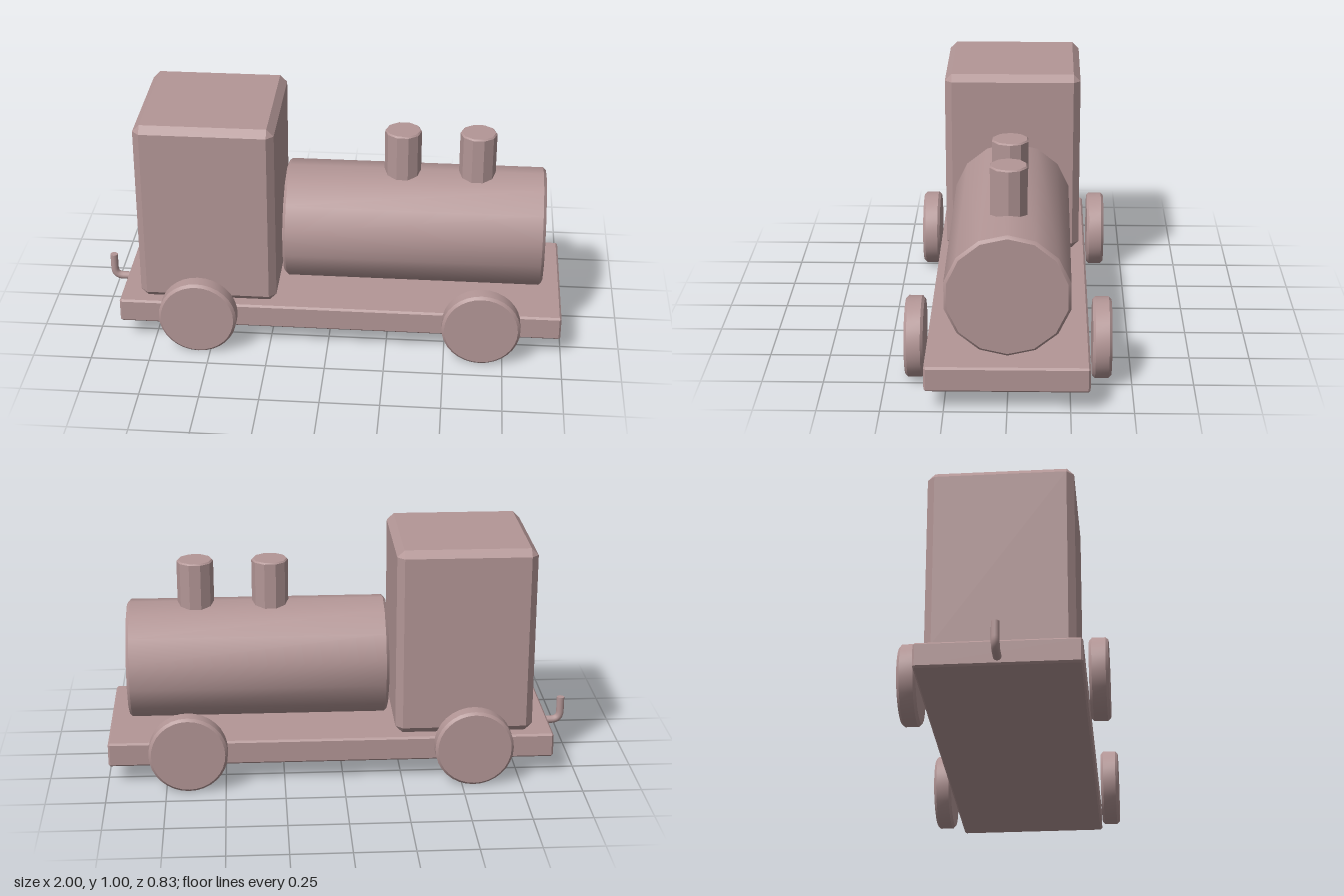
import * as THREE from 'three';
import { toCreasedNormals } from 'three/addons/utils/BufferGeometryUtils.js';
import { ConvexGeometry } from 'three/addons/geometries/ConvexGeometry.js';

const material = new THREE.MeshStandardMaterial({ color: 0xb39696 });

// Box with chamfered edges, given by its min and max corners
function chamferBox(min, max, c) {
  const half = max.map((v, i) => (v - min[i]) / 2);
  const points = [];
  for (const sx of [-1, 1]) for (const sy of [-1, 1]) for (const sz of [-1, 1]) {
    for (let full = 0; full < 3; full++) {
      const p = half.map((h, i) => (i === full ? h : h - c));
      points.push(new THREE.Vector3(sx * p[0], sy * p[1], sz * p[2]));
    }
  }
  const geometry = new ConvexGeometry(points);
  return geometry.translate(...max.map((v, i) => (v + min[i]) / 2));
}

// Upright cylinder with chamfered rims, centred on the origin
function chamferCylinder(radius, height, c, sides) {
  const h = height / 2;
  const profile = [[0, -h], [radius - c, -h], [radius, c - h], [radius, h - c], [radius - c, h], [0, h]]
    .map(([r, y]) => new THREE.Vector2(r, y));
  return toCreasedNormals(new THREE.LatheGeometry(profile, sides, Math.PI / 2), 0.5);
}

export function createModel() {
  const model = new THREE.Group();
  const add = (name, geometry, x = 0, y = 0, z = 0) => {
    const mesh = new THREE.Mesh(geometry, material);
    mesh.name = name;
    mesh.position.set(x, y, z);
    model.add(mesh);
  };

  // Body
  add('chassis', chamferBox([-0.9, 0.085, -0.327], [0.995, 0.19, 0.327], 0.008));
  add('cab', chamferBox([-0.812, 0.19, -0.298], [-0.225, 1.005, 0.298], 0.03));
  add('boiler', chamferCylinder(0.255, 1.11, 0.012, 14).rotateZ(Math.PI / 2), 0.355, 0.454, 0);

  // Chimneys
  [['rearChimney', 0.297], ['frontChimney', 0.615]].forEach(([name, x]) =>
    add(name, chamferCylinder(0.078, 0.235, 0.006, 10), x, 0.778, 0));

  // Wheels
  const wheel = chamferCylinder(0.166, 0.077, 0.011, 32).rotateX(Math.PI / 2);
  for (const [end, x] of [['rear', -0.55], ['front', 0.655]])
    for (const [side, z] of [['Near', 0.378], ['Far', -0.378]])
      add(end + side + 'Wheel', wheel, x, 0.168, z);

  // Coupling hook: straight, bend, upright, with a flat tip
  const v = (x, y) => new THREE.Vector3(x, y, 0);
  const path = new THREE.CurvePath();
  path.add(new THREE.LineCurve3(v(-0.88, 0.118), v(-0.943, 0.118)));
  path.add(new THREE.QuadraticBezierCurve3(v(-0.943, 0.118), v(-0.983, 0.118), v(-0.983, 0.158)));
  path.add(new THREE.LineCurve3(v(-0.983, 0.158), v(-0.983, 0.225)));
  add('hook', new THREE.TubeGeometry(path, 24, 0.017, 12));
  add('hookTip', new THREE.CircleGeometry(0.017, 12).rotateX(-Math.PI / 2), -0.983, 0.225, 0);

  return model;
}
